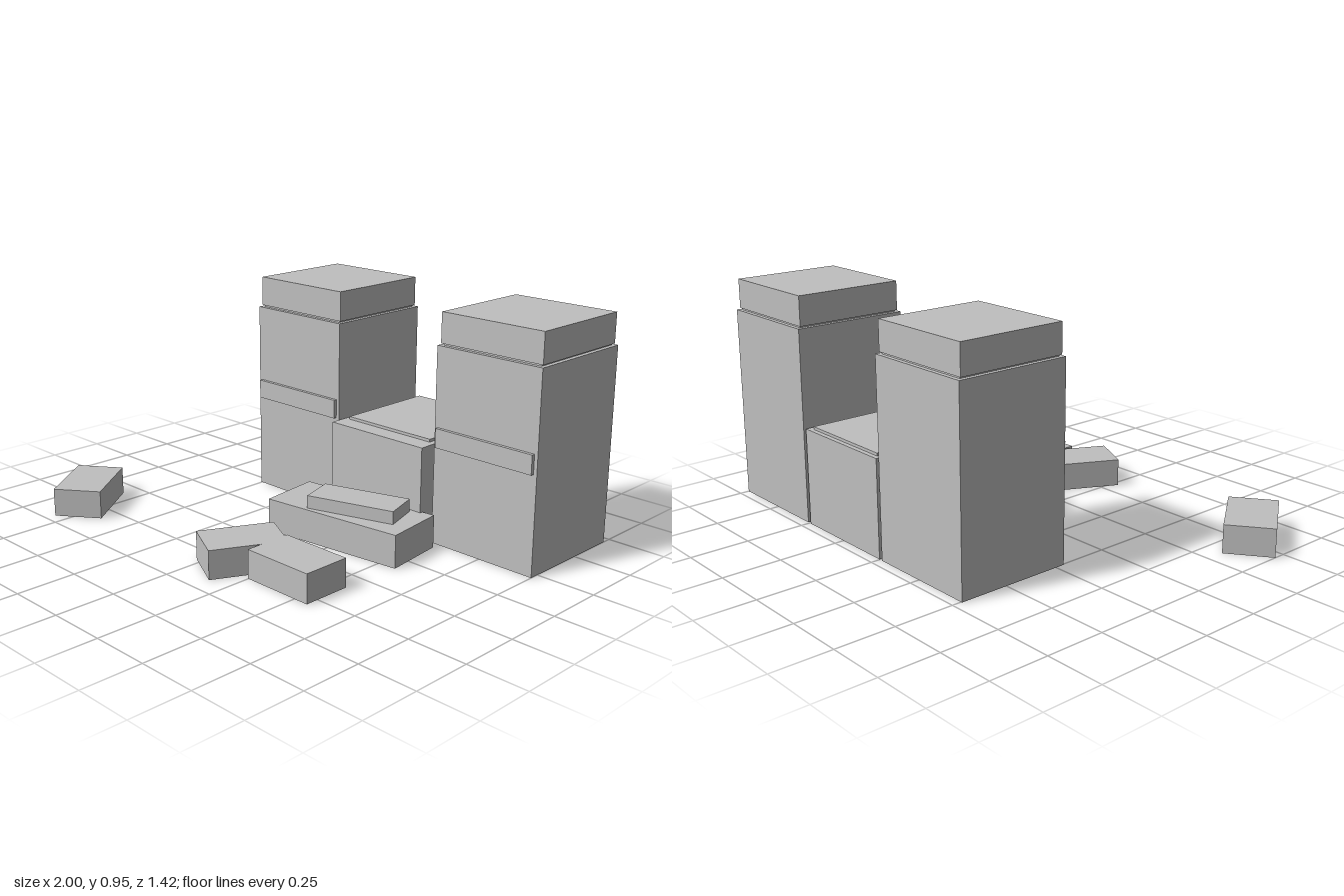
import * as THREE from 'three';

export function createModel() {
  const model = new THREE.Group();
  const grey = new THREE.MeshStandardMaterial({ color: 0xbfbfbf });
  grey.name = 'stone grey';

  // Box resting on height y, centred on x and z, turned about the vertical axis
  function block(parent, name, [w, h, d], [x, y, z], turn = 0) {
    const mesh = new THREE.Mesh(new THREE.BoxGeometry(w, h, d), grey);
    mesh.name = name;
    mesh.position.set(x, y + h / 2, z);
    mesh.rotation.y = turn;
    parent.add(mesh);
  }

  // Two matching towers: body, recessed neck, cap and front band
  for (const [name, x] of [['rightTower', -0.26], ['leftTower', 0.755]]) {
    const tower = new THREE.Group();
    tower.name = name;
    tower.position.x = x;
    block(tower, 'towerBody', [0.49, 0.823, 0.5], [0, 0, -0.46]);
    block(tower, 'towerNeck', [0.455, 0.007, 0.465], [0, 0.823, -0.46]);
    block(tower, 'towerCap', [0.475, 0.125, 0.475], [0, 0.83, -0.46]);
    block(tower, 'frontBand', [0.46, 0.08, 0.015], [0, 0.412, -0.2025]);
    model.add(tower);
  }

  // Low block between the towers, with a raised lid
  block(model, 'middleBody', [0.49, 0.412, 0.555], [0.247, 0, -0.4325]);
  block(model, 'middleLid', [0.44, 0.012, 0.455], [0.245, 0.412, -0.4625]);

  // Tilted slabs stacked in front
  block(model, 'lowerSlab', [0.635, 0.138, 0.27], [0.248, 0, -0.005], 0.118);
  block(model, 'upperSlab', [0.38, 0.054, 0.16], [0.293, 0.138, -0.005], 0.299);

  // Loose blocks scattered on the ground
  const size = [0.315, 0.12, 0.205];
  block(model, 'farBlock', size, [-0.825, 0, 0.518], -0.943);
  block(model, 'angledBlock', size, [0.135, 0, 0.483], 1.1);
  block(model, 'straightBlock', size, [0.407, 0, 0.453]);

  return model;
}
